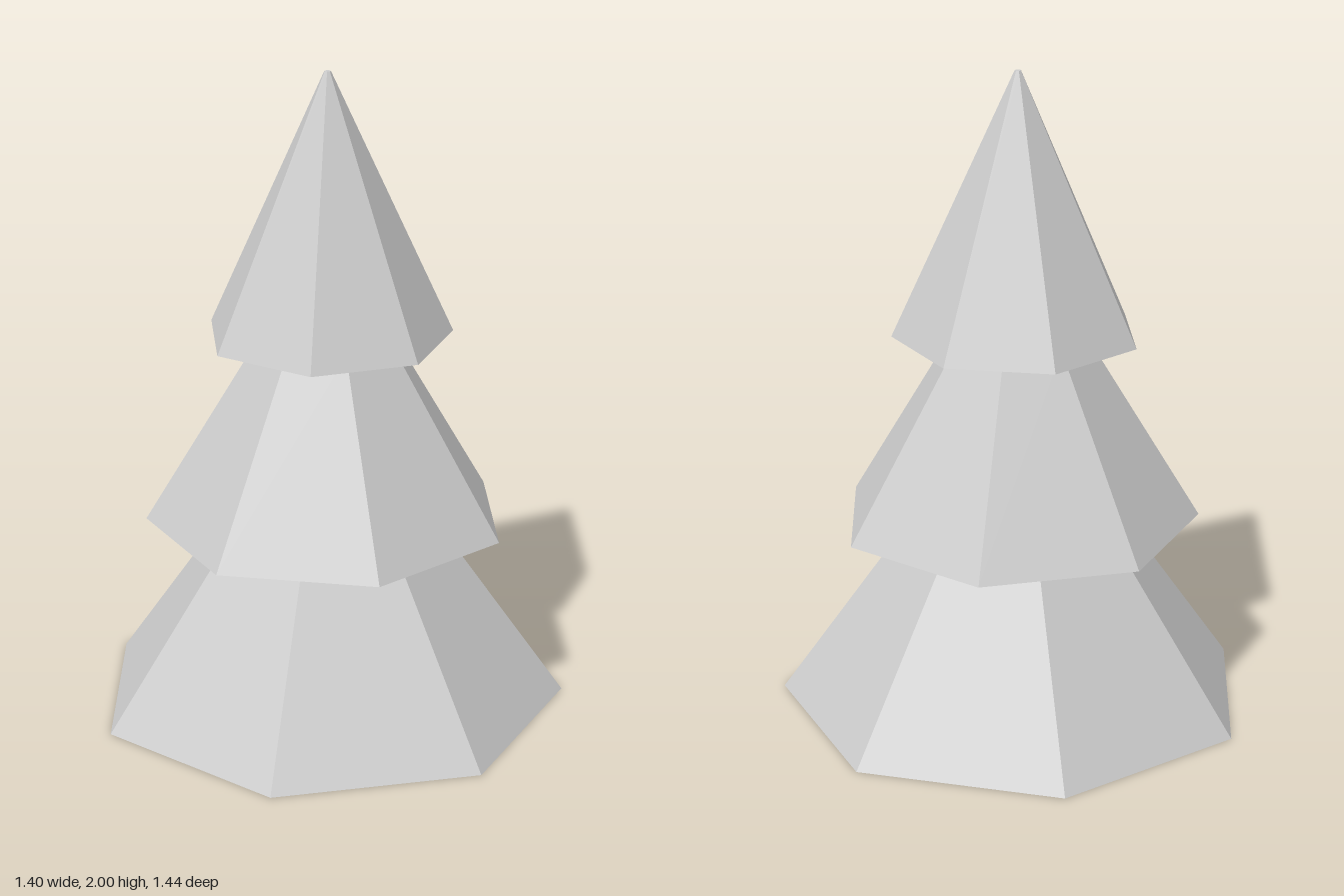
import * as THREE from 'three';

const SIDES = 7;
const AXIS_X = -0.037; // centres the uneven seven-sided outline on x = 0

// Each tier: base height, top height, base radius, top radius, turn of a corner from +x towards +z
const TIERS = [
  { name: 'lowerBranches', y0: 0, y1: 0.595, r0: 0.737, r1: 0.319, turn: 0 },
  { name: 'middleBranches', y0: 0.595, y1: 1.187, r0: 0.561, r1: 0.204, turn: 22.6 },
  { name: 'topBranches', y0: 1.187, y1: 2, r0: 0.381, r1: 0.01, turn: -5.8 },
];

export function createModel() {
  const tree = new THREE.Group();
  tree.name = 'tree';

  const foliage = new THREE.MeshStandardMaterial({ color: 0xcccccc, flatShading: true });
  foliage.name = 'light grey';

  // Stacked, twisted seven-sided cones
  for (const { name, y0, y1, r0, r1, turn } of TIERS) {
    const start = Math.PI / 2 - THREE.MathUtils.degToRad(turn);
    const geometry = new THREE.CylinderGeometry(r1, r0, y1 - y0, SIDES, 1, false, start);
    const tier = new THREE.Mesh(geometry, foliage);
    tier.name = name;
    tier.position.set(AXIS_X, (y0 + y1) / 2, 0);
    tree.add(tier);
  }

  return tree;
}
